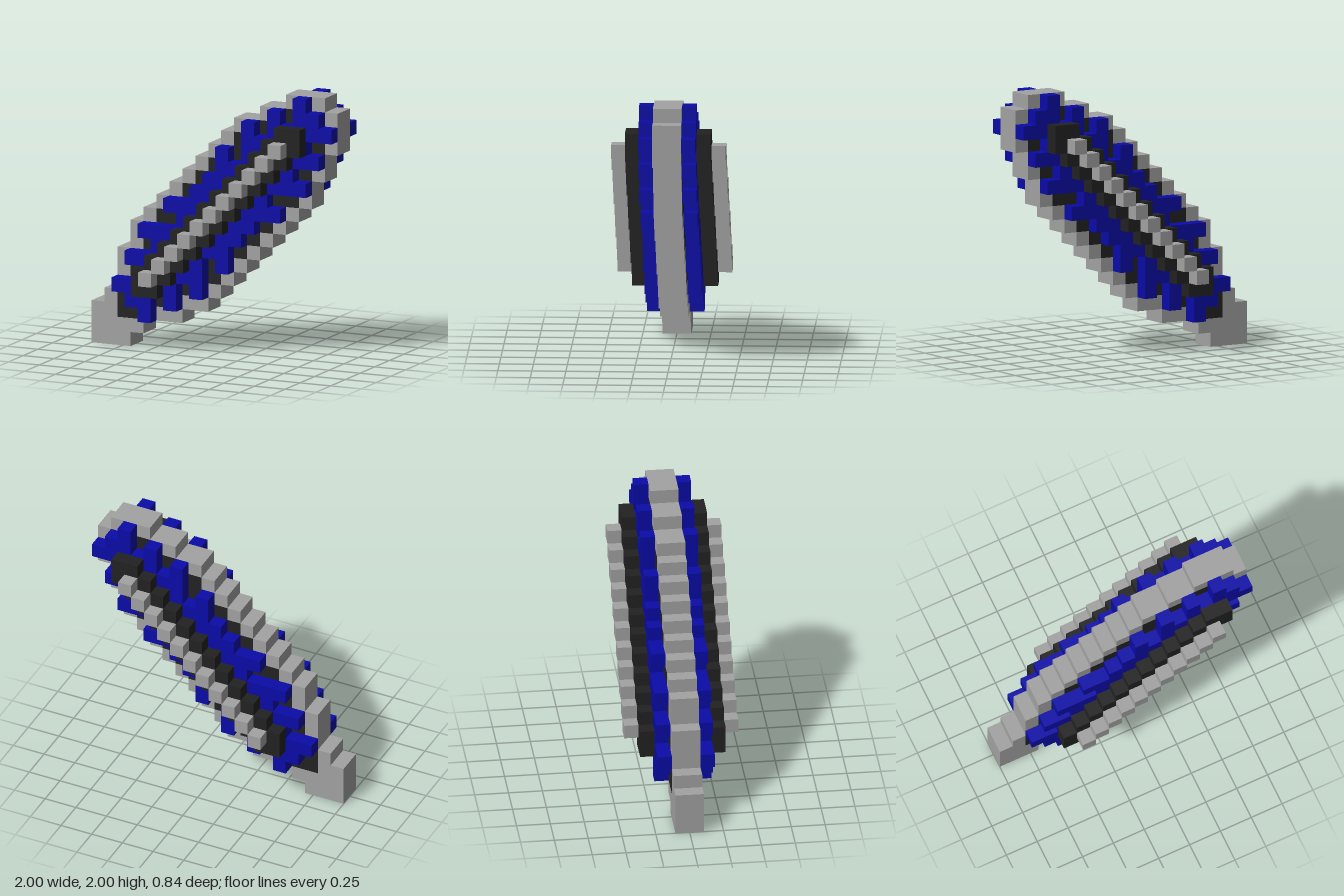
import * as THREE from 'three';
import { mergeGeometries } from 'three/addons/utils/BufferGeometryUtils.js';

const N = 19, S = 2 / N; // cells along the longest side, cell size

// first and last filled column of each row of the flat plate, from the bottom up
const PLATE = [
  [0, 2], [0, 3], [0, 6], [1, 8], [2, 9], [2, 10], [2, 11], [3, 12], [3, 13], [4, 14],
  [5, 15], [6, 16], [7, 16], [8, 17], [9, 17], [10, 18], [11, 18], [13, 18], [15, 17],
];
// raised columns above the diagonal, per row: first column, then any gap
const RAISED = {
  3: [3], 4: [2], 5: [4], 6: [3], 7: [5], 8: [4], 9: [7], 10: [6], 11: [8], 12: [9],
  13: [10], 14: [10, 11], 15: [12], 16: [12, 13], 17: [14, 15], 18: [16, 17],
};

const inPlate = (u, v) => v >= 0 && v < N && u >= PLATE[v][0] && u <= PLATE[v][1];

function inRaised(u, v) {
  const a = Math.min(u, v), b = Math.max(u, v); // mirrored about the diagonal
  const row = RAISED[b];
  if (!row || a < row[0] || a === row[1]) return false;
  return !(b === 18 && a === 18);
}

const inRidge = (u, v) =>
  Math.abs(u - v) <= 1 && Math.min(u, v) >= 4 && Math.max(u, v) <= 16;

const inSpine = (u, v) => u === v && u >= 5 && u <= 15;

// name of the part that fills a cell, or null; layers mirror front to back
function partAt(u, v, w) {
  const layer = w >= 0 ? w : -1 - w;
  if (layer === 0) {
    if (!inPlate(u, v)) return null;
    if (u < 2 || v < 2) return 'handle';
    const edge = !inPlate(u - 1, v) || !inPlate(u + 1, v) ||
      !inPlate(u, v - 1) || !inPlate(u, v + 1);
    return edge ? 'rim' : 'inlay';
  }
  if (layer === 1) return inRaised(u, v) ? 'raisedPattern' : null;
  if (layer === 2) return inRidge(u, v) ? 'ridge' : null;
  if (layer === 3) return inSpine(u, v) ? 'spine' : null;
  return null;
}

// one square face for each direction, already turned outward
const FACES = [
  [1, 0, 0], [-1, 0, 0], [0, 1, 0], [0, -1, 0], [0, 0, 1], [0, 0, -1],
].map((dir) => {
  const geometry = new THREE.PlaneGeometry(S, S);
  const normal = new THREE.Vector3(...dir);
  const turn = new THREE.Quaternion();
  if (dir[2] === -1) turn.setFromAxisAngle(new THREE.Vector3(0, 1, 0), Math.PI);
  else turn.setFromUnitVectors(new THREE.Vector3(0, 0, 1), normal);
  geometry.applyQuaternion(turn);
  geometry.translate(dir[0] * S / 2, dir[1] * S / 2, dir[2] * S / 2);
  return { dir, geometry };
});

function material(name, color) {
  const m = new THREE.MeshStandardMaterial({ color });
  m.name = name;
  return m;
}

export function createModel() {
  const grey = material('grey', 0xa3a3a3);
  const blue = material('blue', 0x0b0ba8);
  const black = material('black', 0x222222);
  const materials = {
    handle: grey, rim: grey, inlay: black, raisedPattern: blue, ridge: black, spine: grey,
  };
  const pieces = {};

  // collect the outer faces of every filled cell
  for (let u = 0; u < N; u++) {
    for (let v = 0; v < N; v++) {
      for (let w = -4; w < 4; w++) {
        const part = partAt(u, v, w);
        if (!part) continue;
        for (const { dir, geometry } of FACES) {
          if (partAt(u + dir[0], v + dir[1], w + dir[2])) continue;
          const face = geometry.clone();
          face.translate(-1 + (u + 0.5) * S, (v + 0.5) * S, (w + 0.5) * S);
          (pieces[part] ||= []).push(face);
        }
      }
    }
  }

  // one mesh per part
  const model = new THREE.Group();
  model.name = 'blockBlade';
  for (const [part, faces] of Object.entries(pieces)) {
    const mesh = new THREE.Mesh(mergeGeometries(faces), materials[part]);
    mesh.name = part;
    model.add(mesh);
  }
  return model;
}
